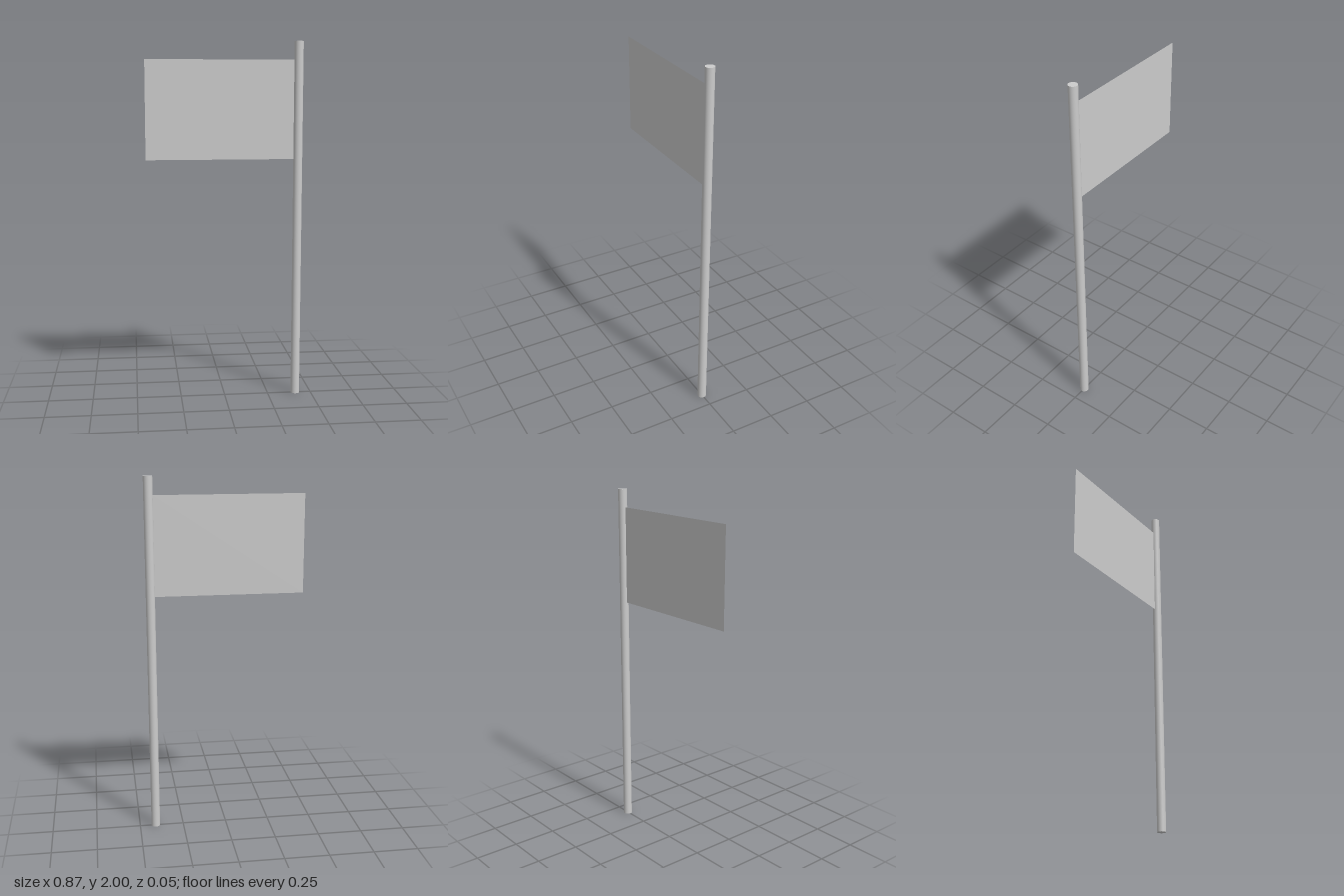
import * as THREE from 'three';

export function createModel() {
  const group = new THREE.Group();
  const gray = new THREE.MeshStandardMaterial({ color: 0xcccccc, side: THREE.DoubleSide });
  gray.name = 'light gray';

  // Upright round pole
  const radius = 0.025, height = 2, poleX = 0.41;
  const pole = new THREE.Mesh(new THREE.CylinderGeometry(radius, radius, height, 32), gray);
  pole.name = 'pole';
  pole.position.set(poleX, height / 2, 0);

  // Flat flag reaching from the pole's side towards -x
  const left = -0.435, right = poleX - radius, bottom = 1.355, top = 1.9;
  const flag = new THREE.Mesh(new THREE.PlaneGeometry(right - left, top - bottom), gray);
  flag.name = 'flag';
  flag.position.set((left + right) / 2, (bottom + top) / 2, 0);

  group.add(pole, flag);
  return group;
}
